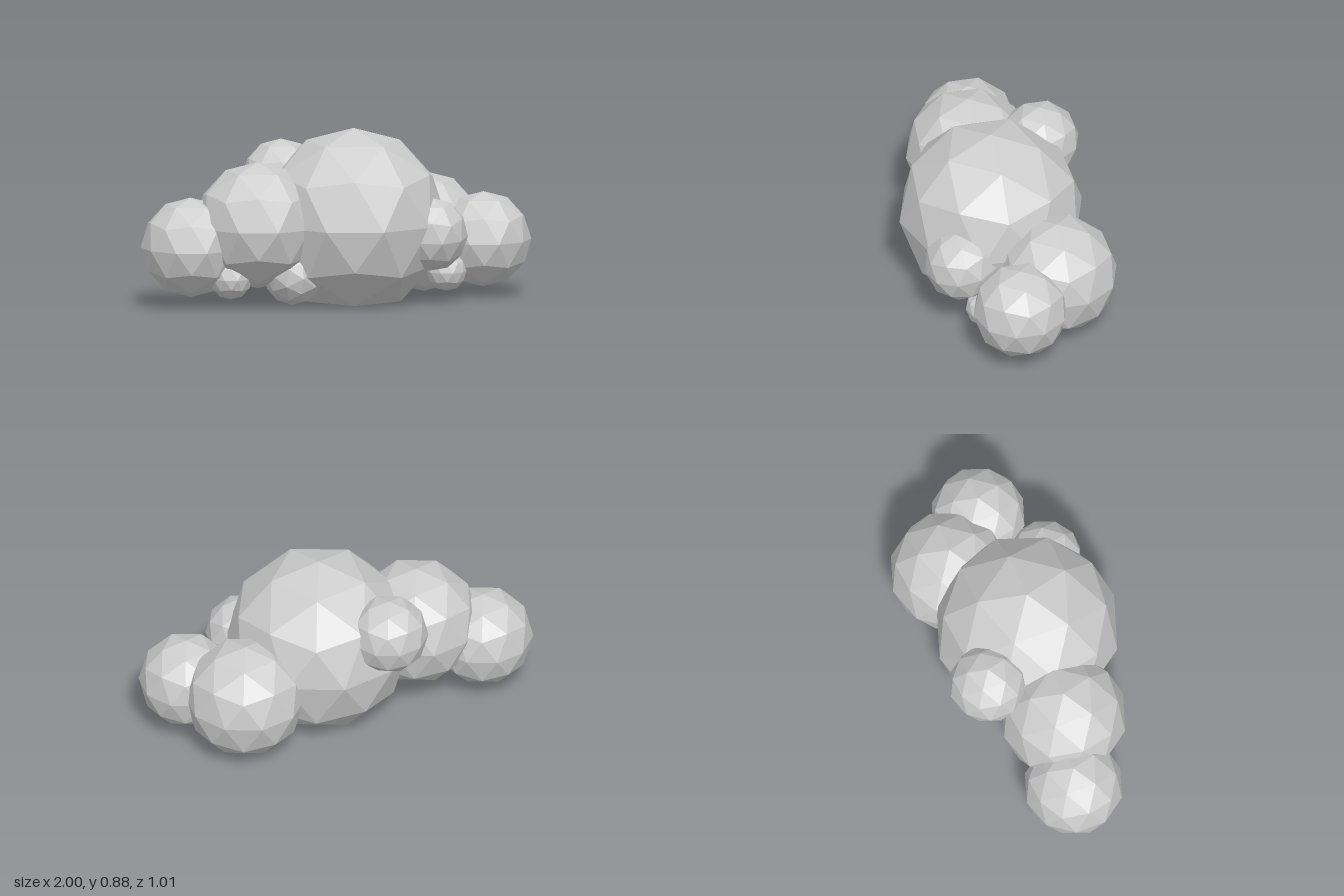
import * as THREE from 'three';

const material = new THREE.MeshStandardMaterial({ color: 0xcccccc, flatShading: true });

// Faceted ball standing on one of its corners; anything below the ground is pressed flat.
function puff(name, r, [x, y, z], tilt = [0, 0, 0]) {
  const geo = new THREE.IcosahedronGeometry(r, 1);
  geo.rotateZ(-Math.atan(2 / (1 + Math.sqrt(5))));
  geo.rotateX(tilt[0]).rotateY(tilt[1]).rotateZ(tilt[2]);
  geo.translate(x, y, z);
  const p = geo.attributes.position;
  for (let i = 0; i < p.count; i++) p.setY(i, Math.max(0, p.getY(i)));
  geo.computeVertexNormals();
  const mesh = new THREE.Mesh(geo, material);
  mesh.name = name;
  return mesh;
}

export function createModel() {
  const cloud = new THREE.Group();
  cloud.name = 'cloud';
  cloud.add(
    // Large puffs that form the body
    puff('mainPuff', 0.47, [0.08, 0.41, 0.04]),
    puff('rightInnerPuff', 0.32, [-0.43, 0.41, 0.04]),
    puff('rightOuterPuff', 0.252, [-0.76, 0.303, -0.035]),
    puff('leftBackPuff', 0.305, [0.535, 0.305, -0.2]),
    puff('leftOuterPuff', 0.241, [0.77, 0.287, 0.045]),
    // Small puffs on the back, front and underside
    puff('backPuff', 0.2, [-0.195, 0.597, -0.275]),
    puff('frontPuff', 0.19, [0.41, 0.355, 0.265], [0.15, 0, 0]),
    puff('leftLowerPuff', 0.1, [0.53, 0.15, 0.17]),
    puff('middleLowerPuff', 0.15, [-0.27, 0.16, 0.13], [0, 0, 0.5]),
    puff('rightLowerPuff', 0.108, [-0.59, 0.155, 0.09]),
  );
  return cloud;
}
